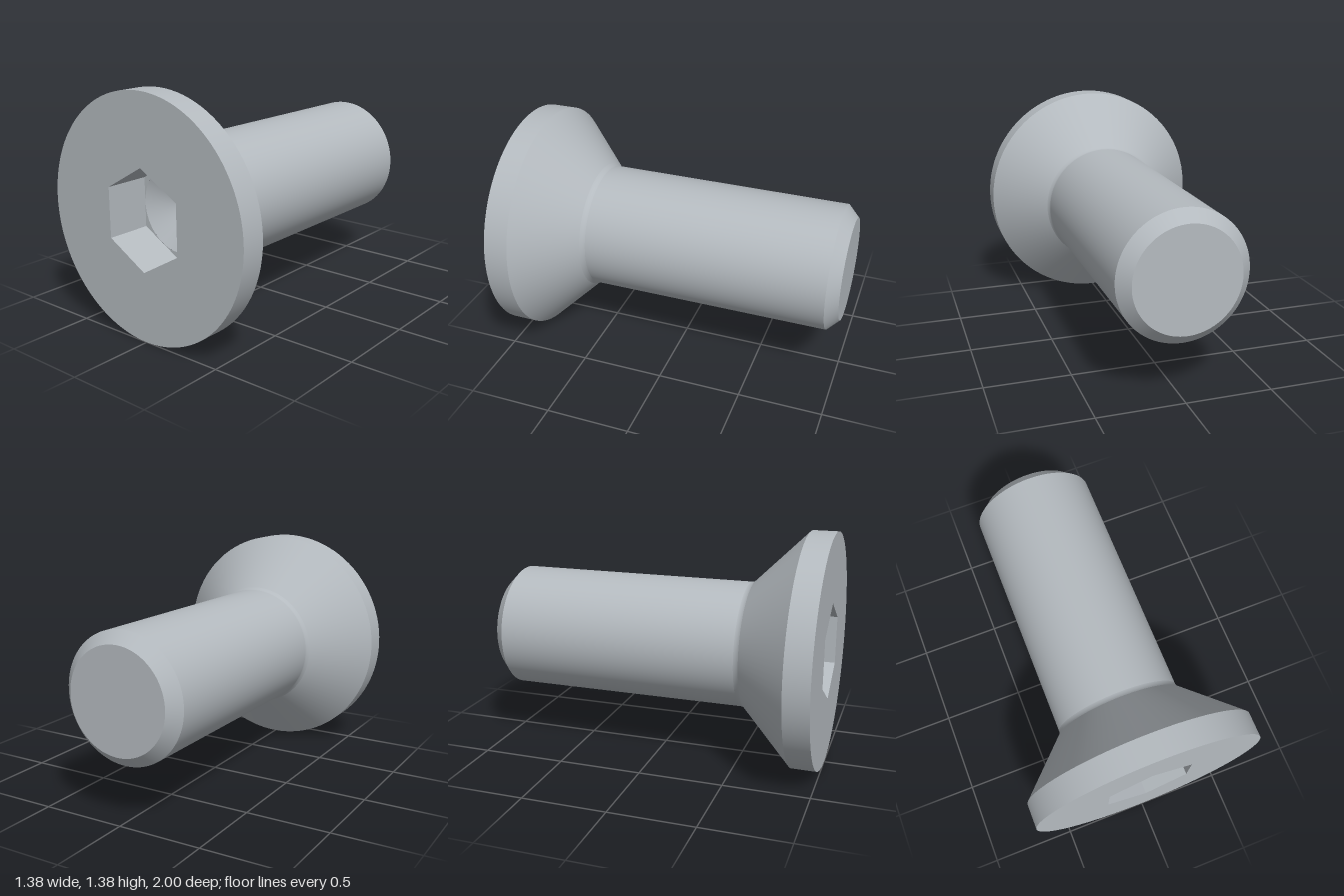
import * as THREE from 'three';

const SEG = 96;
const HEAD_R = 0.692, SHANK_R = 0.372, TIP_R = 0.304;
const HEX_R = 0.289, BORE_R = 0.249;
const FLOOR_Z = 0.735, BORE_Z = 0.59;

export function createModel() {
  const steel = new THREE.MeshStandardMaterial({ color: 0xb4babf });
  steel.name = 'steel grey';
  const screw = new THREE.Group();
  screw.name = 'countersunkScrew';

  const add = (name, geometry) => {
    const mesh = new THREE.Mesh(geometry, steel);
    mesh.name = name;
    screw.add(mesh);
  };
  // Revolve [radius, z] pairs about z; rising z faces outward, falling z inward
  const turned = (points, segments = SEG) =>
    new THREE.LatheGeometry(points.map(([r, z]) => new THREE.Vector2(r, z)), segments).rotateX(Math.PI / 2);

  const hexagon = Array.from({ length: 6 }, (_, i) => {
    const a = Math.PI / 2 + (i * Math.PI) / 3;
    return new THREE.Vector2(HEX_R * Math.cos(a), HEX_R * Math.sin(a));
  });

  // Head: flat face with a hexagonal opening, rim and countersunk cone
  const face = new THREE.Shape().absarc(0, 0, HEAD_R, 0, Math.PI * 2);
  face.holes.push(new THREE.Path(hexagon));
  add('headFace', new THREE.ShapeGeometry(face, SEG).translate(0, 0, 1));
  add('headRim', turned([[HEAD_R, 0.853], [HEAD_R, 1]]));
  add('headCone', turned([[0.385, 0.546], [HEAD_R, 0.853]]));

  // Shank: small fillet under the head, plain body, chamfered tip
  add('neckFillet', turned([[SHANK_R, 0.515], [0.3745, 0.531], [0.385, 0.546]]));
  add('shank', turned([[SHANK_R, -0.932], [SHANK_R, 0.515]]));
  add('tipChamfer', turned([[TIP_R, -1], [SHANK_R, -0.932]]));
  add('tipFace', new THREE.CircleGeometry(TIP_R, SEG).rotateY(Math.PI).translate(0, 0, -1));

  // Socket: six flat walls, corner ledges and a conical drilled bottom
  const walls = turned([[HEX_R, 1], [HEX_R, FLOOR_Z]], 6).toNonIndexed();
  walls.computeVertexNormals();
  add('socketWalls', walls);
  const ledge = new THREE.Shape(hexagon);
  ledge.holes.push(new THREE.Path().absarc(0, 0, BORE_R, 0, Math.PI * 2));
  add('socketLedge', new THREE.ShapeGeometry(ledge, SEG).translate(0, 0, FLOOR_Z));
  add('socketCone', turned([[BORE_R, FLOOR_Z], [0, BORE_Z]]));

  screw.position.y = HEAD_R;
  const model = new THREE.Group();
  model.name = 'screwModel';
  model.add(screw);
  return model;
}
